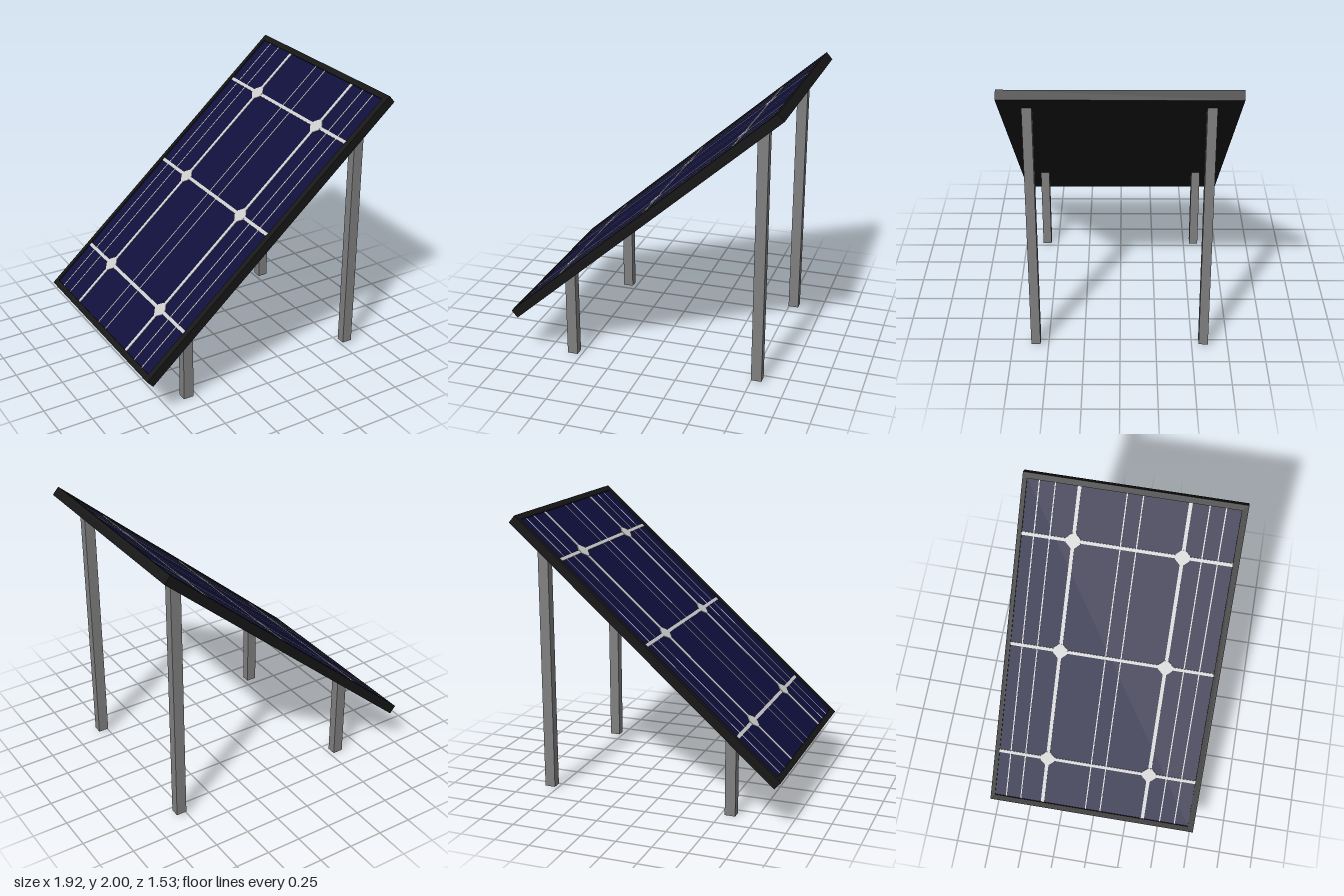
import * as THREE from 'three';

export function createModel() {
  const model = new THREE.Group();
  const mat = (color) => new THREE.MeshStandardMaterial({ color, flatShading: true });
  const black = mat(0x161616), blue = mat(0x0e0e3c), silver = mat(0xcccccc), steel = mat(0x808080);

  const add = (parent, name, geometry, material, x = 0, y = 0, z = 0) => {
    const mesh = new THREE.Mesh(geometry, material);
    mesh.name = name;
    mesh.position.set(x, y, z);
    parent.add(mesh);
    return mesh;
  };

  // Tilted panel: local x runs up the slope, local y is its normal
  const tilt = Math.atan2(1.645, 1.875);
  const panel = new THREE.Group();
  panel.name = 'panel';
  panel.position.set(-0.0025, 1.1525, 0);
  panel.rotation.z = tilt;
  model.add(panel);

  const halfL = 1.247, halfW = 0.766, thick = 0.066;
  const innerL = 1.205, innerW = 0.728, innerZ = -0.006, cellTop = 0.023;

  // Rim: rectangle with a rectangular opening
  const rect = (Type, l, w, z) => {
    const s = new Type();
    s.moveTo(-l, -w - z);
    s.lineTo(l, -w - z);
    s.lineTo(l, w - z);
    s.lineTo(-l, w - z);
    s.closePath();
    return s;
  };
  const rim = rect(THREE.Shape, halfL, halfW, 0);
  rim.holes.push(rect(THREE.Path, innerL, innerW, innerZ));
  const rimGeo = new THREE.ExtrudeGeometry(rim, { depth: thick, bevelEnabled: false });
  rimGeo.rotateX(-Math.PI / 2);
  add(panel, 'frame', rimGeo, black, 0, -thick / 2, 0);

  // Back board and recessed solar cells
  add(panel, 'backBoard', new THREE.BoxGeometry(innerL * 2, 0.046, innerW * 2), black, 0, -0.01, innerZ);
  add(panel, 'cells', new THREE.BoxGeometry(innerL * 2, 0.01, innerW * 2), blue, 0, cellTop - 0.005, innerZ);

  // Conductor lines along the slope
  const busZ = [-0.375, 0.38];
  const lineAlong = (name, z, width, h) =>
    add(panel, name, new THREE.BoxGeometry(innerL * 2, h, width), silver, 0, cellTop + h / 2, z);
  for (const z of busZ) lineAlong('wideBusbar', z, 0.025, 0.003);
  for (const z of [-0.65, -0.54, -0.05, 0.06, 0.51, 0.62]) lineAlong('thinBusbar', z, 0.008, 0.002);

  // Diamond joints with clipped corners where cross lines meet the wide lines
  const joint = new THREE.Shape([
    [0.053, -0.013], [0.053, 0.013], [0.018, 0.05], [-0.018, 0.05],
    [-0.053, 0.013], [-0.053, -0.013], [-0.018, -0.05], [0.018, -0.05],
  ].map(([x, y]) => new THREE.Vector2(x, y)));
  const jointGeo = new THREE.ExtrudeGeometry(joint, { depth: 0.005, bevelEnabled: false });
  jointGeo.rotateX(-Math.PI / 2);

  for (const x of [-0.841, 0.01, 0.822]) {
    add(panel, 'crossLine', new THREE.BoxGeometry(0.024, 0.004, innerW * 2), silver, x, cellTop + 0.002, innerZ);
    for (const z of busZ) add(panel, 'joint', jointGeo, silver, x, cellTop, z);
  }

  // Posts, with tops cut to follow the underside of the panel
  const slope = Math.tan(tilt);
  const underside = (x) => 0.305 + (x + 0.919) * slope + 0.004;
  const post = (name, x0, x1, base, z) => {
    const side = new THREE.Shape([
      new THREE.Vector2(x0, base), new THREE.Vector2(x1, base),
      new THREE.Vector2(x1, underside(x1)), new THREE.Vector2(x0, underside(x0)),
    ]);
    const geo = new THREE.ExtrudeGeometry(side, { depth: 0.064, bevelEnabled: false });
    add(model, name, geo, steel, 0, 0, z - 0.032);
  };
  for (const z of [-0.58, 0.587]) {
    post('shortPost', -0.605, -0.53, 0, z);
    post('tallPost', 0.755, 0.83, 0.02, z);
  }

  return model;
}
